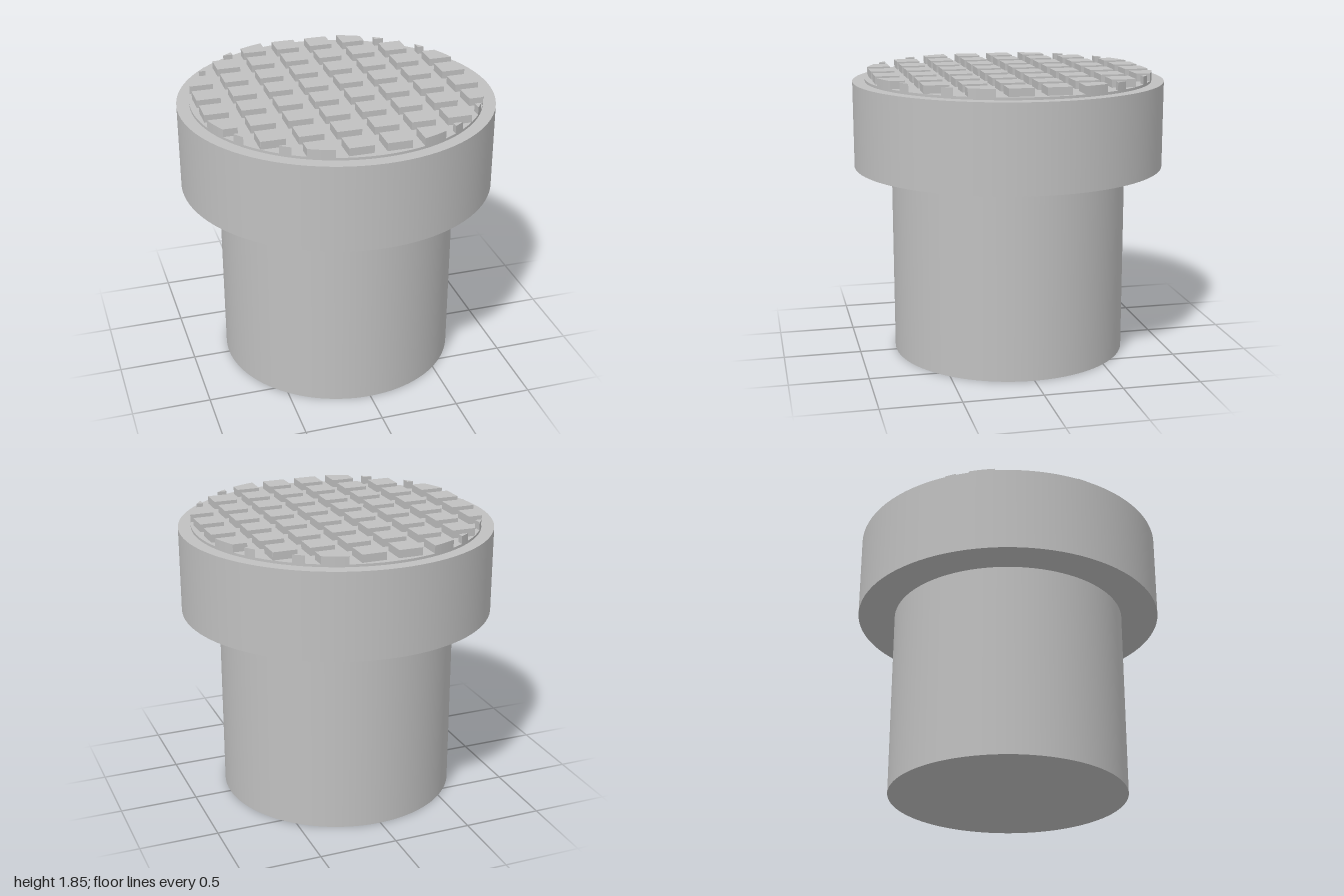
import * as THREE from 'three';

const metal = new THREE.MeshStandardMaterial({ color: 0xc0c0c0 });
metal.name = 'light grey metal';

const FACE_RADIUS = 0.92;
const PITCH = 0.23;
const HALF_PAD = 0.076;

function addDrum(group, name, radius, bottom, top) {
  const geometry = new THREE.CylinderGeometry(radius, radius, top - bottom, 96);
  geometry.translate(0, (bottom + top) / 2, 0);
  const mesh = new THREE.Mesh(geometry, metal);
  mesh.name = name;
  group.add(mesh);
}

// Outline of one square pad in the positive quadrant, trimmed by the round face
function padOutline(cx, cz) {
  const x0 = cx - HALF_PAD, x1 = cx + HALF_PAD;
  const z0 = cz - HALF_PAD, z1 = cz + HALF_PAD;
  if (Math.hypot(x0, z0) >= FACE_RADIUS) return null;
  const rim = (v) => Math.sqrt(Math.max(0, FACE_RADIUS ** 2 - v * v));
  const xEnd = Math.min(x1, rim(z0));
  const points = [[x0, z0], [xEnd, z0]];
  if (Math.hypot(x1, z1) <= FACE_RADIUS) {
    points.push([x1, z1], [x0, z1]);
    return points;
  }
  // Follow the rim from the right edge back to the top or left edge
  const xStart = Math.max(x0, rim(z1));
  const steps = 6;
  for (let i = 0; i <= steps; i++) {
    const x = xEnd + (xStart - xEnd) * (i / steps);
    const z = rim(x);
    if (i > 0 || z > z0 + 1e-5) points.push([x, z]);
  }
  if (xStart > x0 + 1e-5) points.push([x0, z1]);
  return points;
}

export function createModel() {
  const model = new THREE.Group();
  model.name = 'capped post';

  addDrum(model, 'stem', 0.76, 0, 1.235);
  addDrum(model, 'collar', 1, 1.235, 1.786);
  addDrum(model, 'faceDisc', FACE_RADIUS, 1.76, 1.802);

  // Grid of raised grip pads, mirrored into all four quadrants
  const pads = new THREE.Group();
  pads.name = 'gripPads';
  for (let i = 0; i < 4; i++) {
    for (let j = 0; j < 4; j++) {
      const outline = padOutline((i + 0.5) * PITCH, (j + 0.5) * PITCH);
      if (!outline) continue;
      for (const sx of [-1, 1]) {
        for (const sz of [-1, 1]) {
          const shape = new THREE.Shape(
            outline.map(([x, z]) => new THREE.Vector2(x * sx, z * sz)));
          const geometry = new THREE.ExtrudeGeometry(shape, { depth: 0.055, bevelEnabled: false });
          geometry.rotateX(-Math.PI / 2);
          geometry.translate(0, 1.796, 0);
          const pad = new THREE.Mesh(geometry, metal);
          pad.name = 'gripPad';
          pads.add(pad);
        }
      }
    }
  }
  model.add(pads);
  return model;
}
